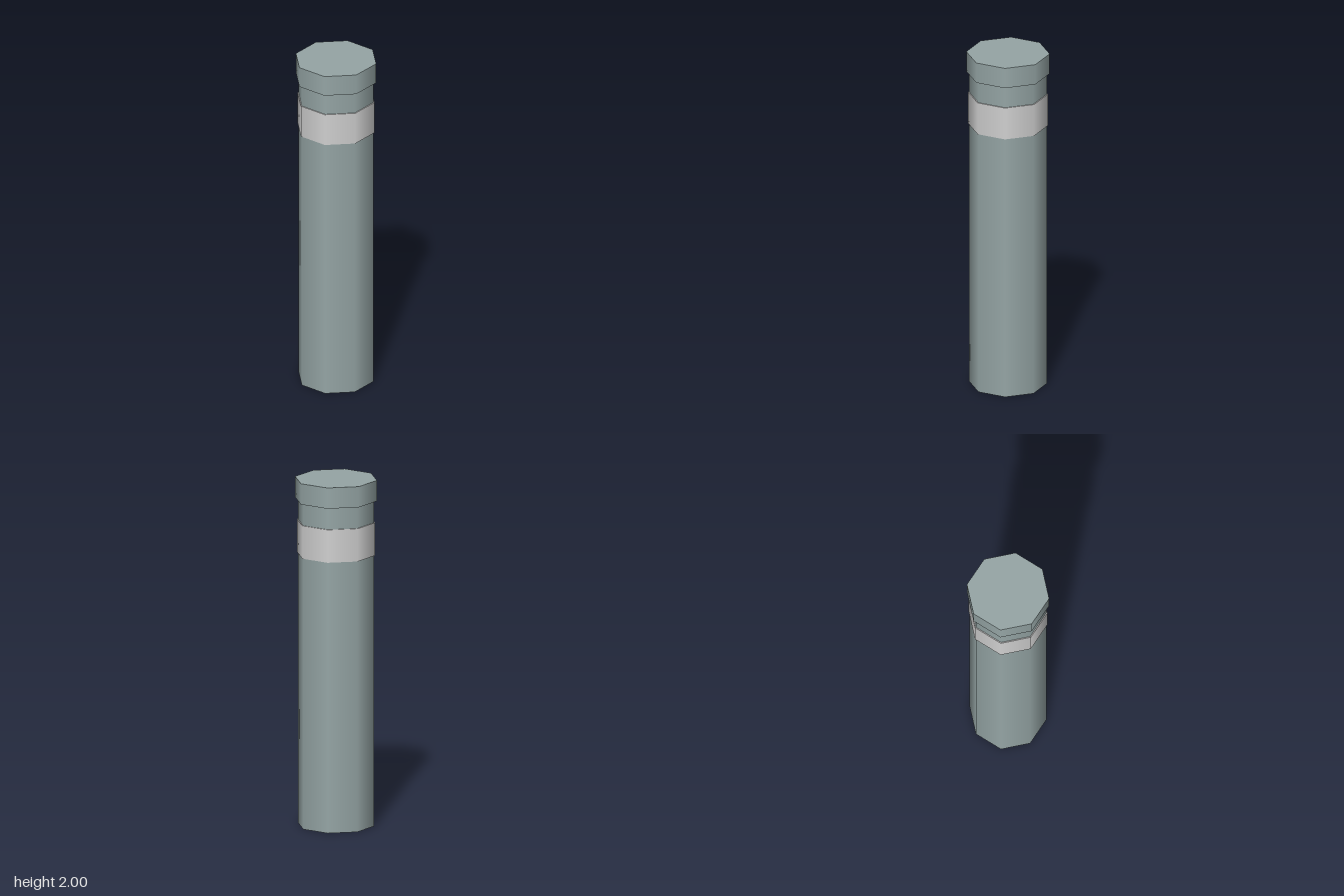
import * as THREE from 'three';

export function createModel() {
  const model = new THREE.Group();
  model.name = 'bollard';

  const paint = new THREE.MeshStandardMaterial({ color: 0x95a5a5 });
  paint.name = 'greyGreenPaint';
  const reflective = new THREE.MeshStandardMaterial({ color: 0xd0d0d0 });
  reflective.name = 'paleGreyBand';

  // Eight-sided, smooth-shaded section standing between two heights
  const section = (name, radius, bottom, top, material) => {
    const mesh = new THREE.Mesh(
      new THREE.CylinderGeometry(radius, radius, top - bottom, 8),
      material
    );
    mesh.name = name;
    mesh.position.y = (bottom + top) / 2;
    model.add(mesh);
  };

  section('post', 0.219, 0, 1.94, paint);
  section('band', 0.225, 1.565, 1.755, reflective);
  section('cap', 0.235, 1.88, 2, paint);

  return model;
}
